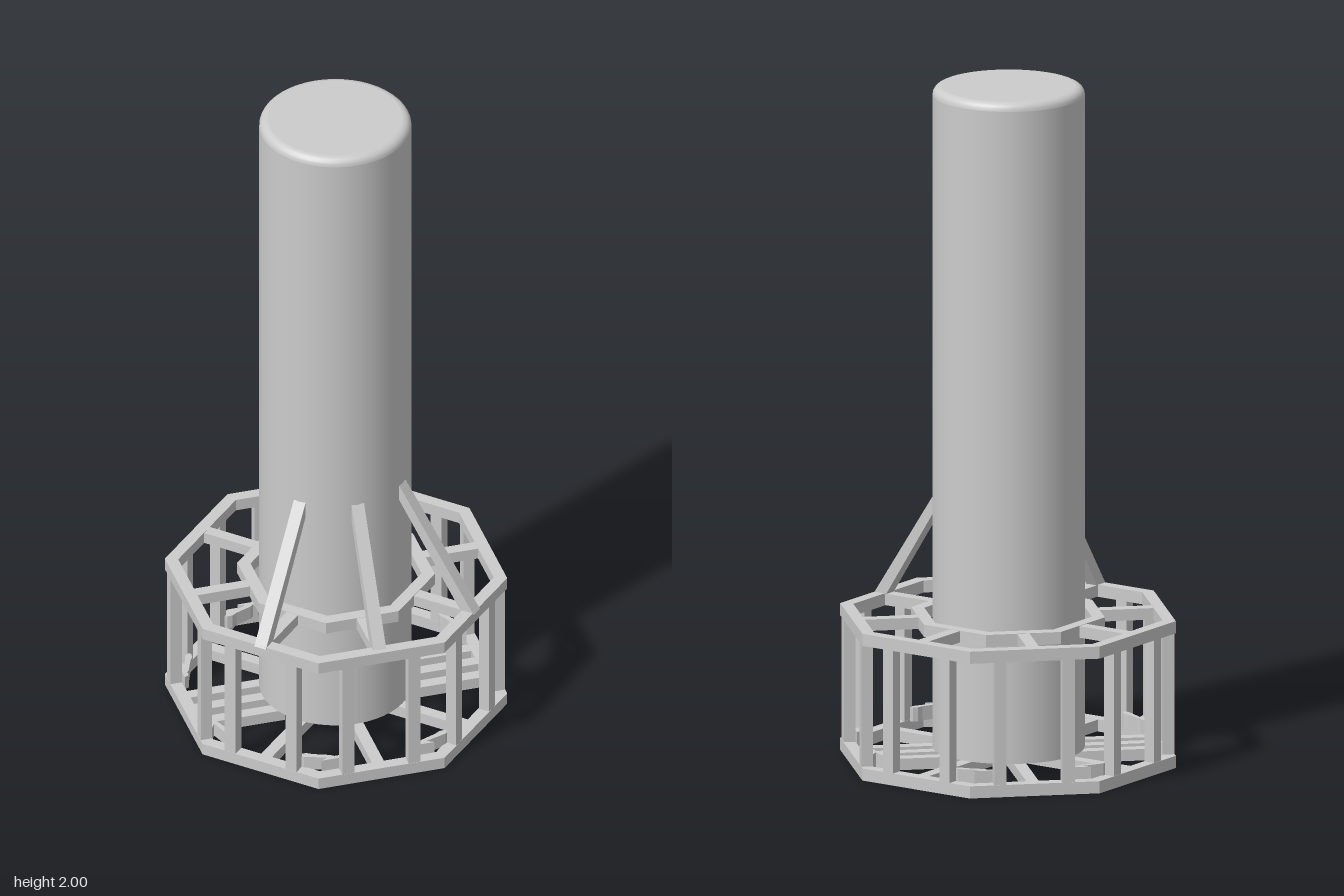
import * as THREE from 'three';

const mat = new THREE.MeshStandardMaterial({ color: 0xcccccc, flatShading: true });
const smooth = new THREE.MeshStandardMaterial({ color: 0xcccccc });
const BAR = 0.036, TOP = 0.436, APOTHEM = 0.459;

// Regular octagon with flat sides facing the axes
function octagon(apothem, path) {
  const r = apothem / Math.cos(Math.PI / 8);
  const pts = [];
  for (let i = 0; i < 8; i++) {
    const a = Math.PI / 8 + i * Math.PI / 4;
    pts.push(new THREE.Vector2(r * Math.cos(a), r * Math.sin(a)));
  }
  return path.setFromPoints(pts);
}

// Extrudes a plan shape upward from height y
function slab(name, shape, y, height) {
  const geo = new THREE.ExtrudeGeometry(shape, { depth: height, bevelEnabled: false });
  geo.rotateX(-Math.PI / 2);
  const mesh = new THREE.Mesh(geo, mat);
  mesh.position.y = y;
  mesh.name = name;
  return mesh;
}

function ring(name, outer, y) {
  const shape = octagon(outer, new THREE.Shape());
  shape.holes.push(octagon(outer - BAR, new THREE.Path()));
  return slab(name, shape, y, BAR);
}

function box(name, w, h, d, x, y, z) {
  const mesh = new THREE.Mesh(new THREE.BoxGeometry(w, h, d), mat);
  mesh.position.set(x, y, z);
  mesh.name = name;
  return mesh;
}

export function createModel() {
  const model = new THREE.Group();
  model.name = 'columnOnFrame';

  // Tall column with a softly rounded top edge
  const profile = [[0, 0.038], [0.22, 0.038], [0.22, 0.038], [0.22, 1.975], [0.22, 1.975]];
  for (let i = 1; i <= 5; i++) {
    const a = i / 5 * Math.PI / 2;
    profile.push([0.195 + 0.025 * Math.cos(a), 1.975 + 0.025 * Math.sin(a)]);
  }
  profile.push([0.195, 2], [0, 2]);
  const column = new THREE.Mesh(
    new THREE.LatheGeometry(profile.map(p => new THREE.Vector2(...p)), 48), smooth);
  column.name = 'column';
  column.position.x = -0.002;
  model.add(column);

  // Octagonal rings
  model.add(ring('bottomRing', APOTHEM, 0));
  model.add(ring('topRing', APOTHEM, TOP - BAR));
  model.add(ring('collarRing', 0.265, TOP - BAR));

  for (let i = 0; i < 8; i++) {
    const side = new THREE.Group();
    side.name = 'frameSide' + (i + 1);
    side.rotation.y = i * Math.PI / 4;

    // Spokes: lower ones meet at the centre, upper ones reach the collar
    side.add(box('bottomSpoke', BAR, BAR - 0.002, 0.43, 0, BAR / 2, 0.215));
    side.add(box('topSpoke', BAR, BAR - 0.002, 0.17, 0, TOP - BAR / 2, 0.345));

    // Pair of uprights, set wider on the left and right sides
    const spread = i === 2 || i === 6 ? 0.152 : 0.1;
    for (const s of [-1, 1]) {
      side.add(box('upright', BAR, TOP - 2 * BAR, BAR - 0.002, s * spread, TOP / 2, APOTHEM - BAR / 2));
    }

    // Doubled lower bars on the left and right sides
    if (i === 2 || i === 6) {
      for (const s of [-1, 1]) {
        side.add(box('sideBar', BAR, BAR - 0.002, 0.25, s * 0.07, BAR / 2, 0.305));
      }
    }
    model.add(side);
  }

  // Scalloped corner brackets standing on the bottom ring, two per quarter
  const bracket = new THREE.Shape([
    [0.105, 0.424], [0.112, 0.41], [0.128, 0.41], [0.138, 0.402], [0.185, 0.383],
    [0.2, 0.373], [0.215, 0.372], [0.226, 0.378], [0.213, 0.391], [0.18, 0.402],
    [0.15, 0.412], [0.17, 0.424],
  ].map(p => new THREE.Vector2(...p)));
  const mirrored = new THREE.Shape(bracket.getPoints().map(p => new THREE.Vector2(-p.x, p.y)));
  for (let i = 0; i < 4; i++) {
    for (const shape of [bracket, mirrored]) {
      const mesh = slab('cornerBracket', shape, 0.03, 0.042);
      mesh.rotation.y = i * Math.PI / 2;
      model.add(mesh);
    }
  }

  // Slanted braces from the front of the top ring up to the column
  for (const angle of [-Math.PI / 4, 0, Math.PI / 4]) {
    const foot = angle ? 0.462 : 0.445;
    const shape = new THREE.Shape([
      [foot, TOP - 0.005], [foot - 0.042, TOP - 0.005], [0.185, 0.805], [0.203, 0.825],
    ].map(p => new THREE.Vector2(...p)));
    const geo = new THREE.ExtrudeGeometry(shape, { depth: 0.038, bevelEnabled: false });
    geo.translate(0, 0, -0.019);
    geo.rotateY(-Math.PI / 2);
    const brace = new THREE.Mesh(geo, mat);
    brace.rotation.y = angle;
    brace.name = 'brace';
    model.add(brace);
  }

  return model;
}
